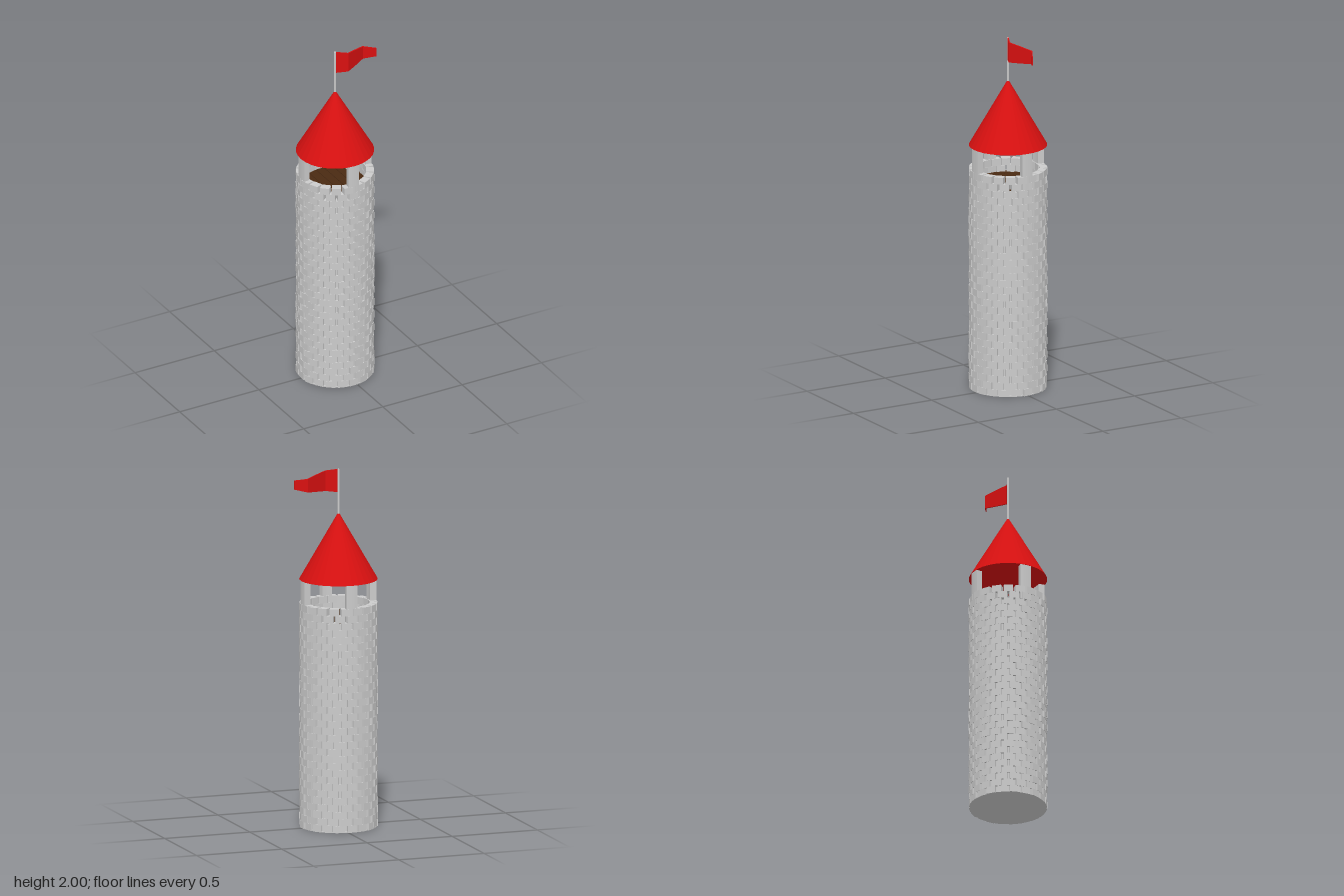
import * as THREE from 'three';
import { mergeGeometries } from 'three/addons/utils/BufferGeometryUtils.js';

const CX = -0.02;          // tower axis
const ROWS = 32, PER_ROW = 20, WALL_TOP = 1.255, FLOOR = 1.18;

function mat(color) {
  return new THREE.MeshStandardMaterial({ color, flatShading: true });
}

function add(group, name, geometry, material, x = 0, y = 0, z = 0) {
  const mesh = new THREE.Mesh(geometry, material);
  mesh.name = name;
  mesh.position.set(x, y, z);
  group.add(mesh);
  return mesh;
}

// Rings of separate stones, every second ring shifted by half a stone
function stoneGeometry() {
  const h = WALL_TOP / ROWS;
  const pitch = (Math.PI * 2) / PER_ROW;
  const stones = [];
  for (let row = 0; row < ROWS; row++) {
    const shift = (ROWS - 1 - row) % 2 === 0 ? 0.5 : 0;
    for (let i = 0; i < PER_ROW; i++) {
      const g = new THREE.BoxGeometry(0.052, h, 0.043);
      const wobble = Math.sin(row * 12.9 + i * 78.2);
      g.rotateY(wobble * 0.05);
      g.translate(0, (row + 0.5) * h, 0.1925 + wobble * 0.0015);
      g.rotateY((i + shift) * pitch);
      stones.push(g);
    }
  }
  return mergeGeometries(stones);
}

// Curved roof post, cut from a ring
function postGeometry(height) {
  const half = 0.155;
  const s = new THREE.Shape();
  s.absarc(0, 0, 0.213, -half, half, false);
  s.absarc(0, 0, 0.178, half, -half, true);
  s.closePath();
  const g = new THREE.ExtrudeGeometry(s, { depth: height, bevelEnabled: false, curveSegments: 3 });
  return g.rotateX(-Math.PI / 2);
}

// Zigzag pennant built from rectangular cross-sections: x, z, bottom, top
function flagGeometry() {
  const sections = [
    [-0.02, 0, 1.87, 2.0],
    [0.045, 0.03, 1.876, 1.99],
    [0.11, -0.002, 1.882, 1.978],
    [0.175, -0.036, 1.889, 1.964],
    [0.24, 0, 1.903, 1.953],
  ];
  const t = 0.004;
  const pos = [], index = [];
  for (const [x, z, b, top] of sections) {
    pos.push(x, b, z + t, x, top, z + t, x, top, z - t, x, b, z - t);
  }
  const quad = (a, b, c, d) => index.push(a, b, c, a, c, d);
  for (let i = 0; i < sections.length - 1; i++) {
    for (let k = 0; k < 4; k++) {
      const a = i * 4 + k, b = i * 4 + ((k + 1) % 4);
      quad(a, a + 4, b + 4, b);
    }
  }
  const e = (sections.length - 1) * 4;
  quad(0, 1, 2, 3);
  quad(e, e + 3, e + 2, e + 1);
  const g = new THREE.BufferGeometry();
  g.setAttribute('position', new THREE.Float32BufferAttribute(pos, 3));
  g.setIndex(index);
  g.computeVertexNormals();
  return g;
}

export function createModel() {
  const model = new THREE.Group();
  model.name = 'tower';
  const stone = mat(0xcccccc), red = mat(0xd81010), wood = mat(0x4a2a12);

  // Wall: solid core below the floor, stones all the way up
  const coreTop = FLOOR - 0.012;
  add(model, 'towerCore', new THREE.CylinderGeometry(0.205, 0.205, coreTop, 40), stone, CX, coreTop / 2);
  add(model, 'wallStones', stoneGeometry(), stone, CX);
  add(model, 'foundation', new THREE.CylinderGeometry(0.213, 0.213, 0.006, 40), stone, CX, 0.003);

  // Plank floor inside the battlement
  const planks = 7, radius = 0.176, w = (2 * radius) / planks;
  const floor = new THREE.Group();
  floor.name = 'floor';
  floor.position.set(CX, FLOOR - 0.006, 0);
  for (let i = 0; i < planks; i++) {
    const x0 = -radius + i * w;
    const x = x0 + w / 2;
    const len = 2 * Math.sqrt(radius * radius - x * x) + 0.01;
    add(floor, 'plank', new THREE.BoxGeometry(w - 0.003, 0.012, len), wood, x);
  }
  model.add(floor);

  // Four roof posts
  const post = postGeometry(1.388 - FLOOR);
  for (let i = 0; i < 4; i++) {
    add(model, 'roofPost', post, stone, CX, FLOOR).rotation.y = (i * Math.PI) / 2;
  }

  // Conical roof, pole and flag
  add(model, 'roof', new THREE.ConeGeometry(0.216, 0.375, 32), red, CX, 1.385 + 0.1875);
  add(model, 'flagPole', new THREE.CylinderGeometry(0.006, 0.006, 0.26, 12), stone, CX, 1.87);
  add(model, 'flag', flagGeometry(), red);
  return model;
}
